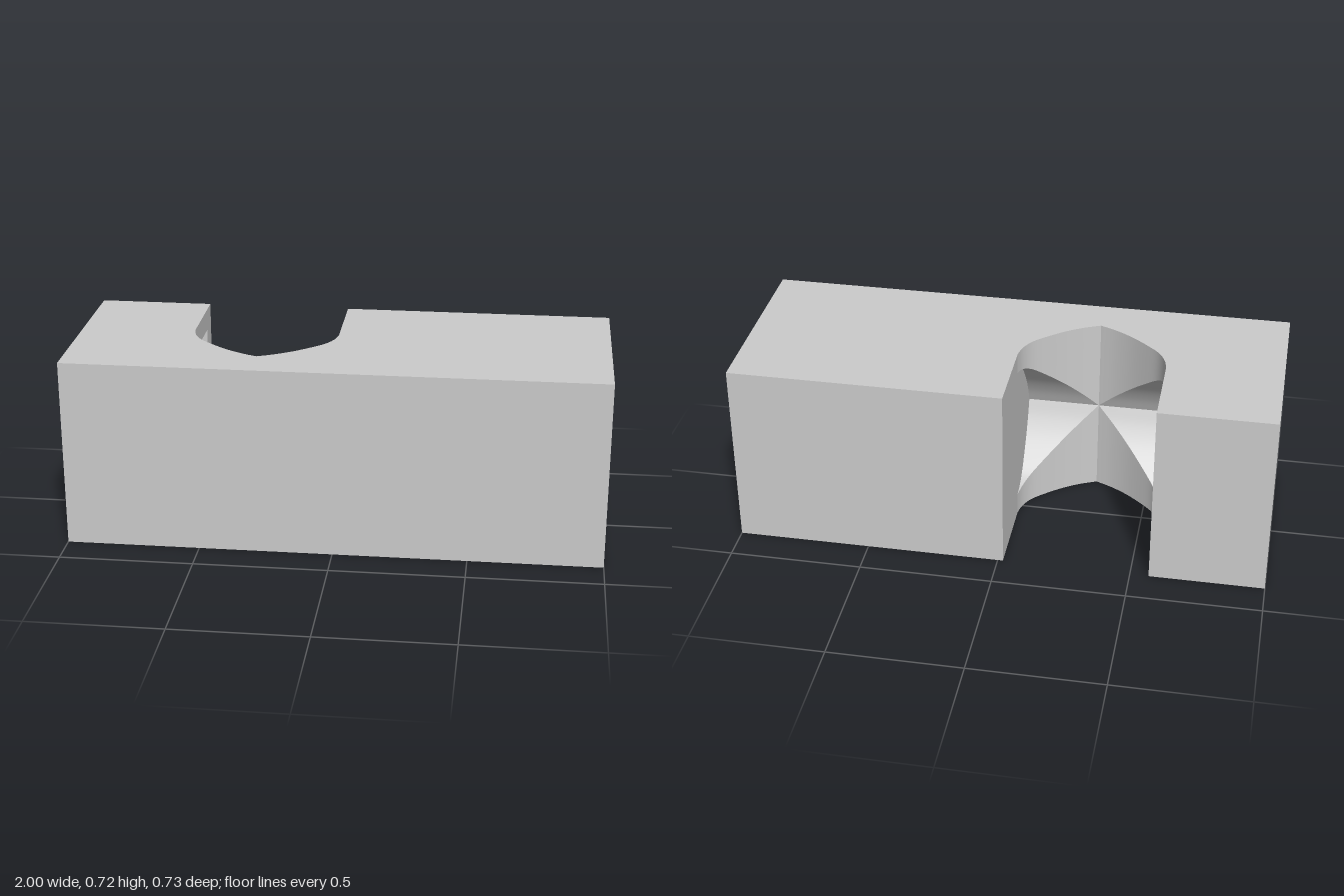
import * as THREE from 'three';
import { toCreasedNormals } from 'three/addons/utils/BufferGeometryUtils.js';

const H = 0.716, D = 0.367, MID = 0.36;         // block height, half depth, bore axis height
const SLOT_L = -0.57, SLOT_R = -0.02;           // slot side walls
const SLOT_C = (SLOT_L + SLOT_R) / 2;
const BORE_BACK = -0.285;                       // flat back wall of the bores
const END_WALL = -0.88, INNER_WALL = 0.1;       // blind ends of the two bores

// Half of the pointed arch: x = offset from its axis, y = depth towards the front
const arch = new THREE.SplineCurve([
  [0, 0.217], [0.06, 0.19], [0.125, 0.15], [0.19, 0.097], [0.237, 0.05], [0.264, 0], [0.275, -0.05],
].map(([u, z]) => new THREE.Vector2(u, z))).getPoints(30);

// Whole arch from one side to the other
const fullArch = [...arch.slice(1).reverse().map(p => new THREE.Vector2(-p.x, p.y)), ...arch];

export function createModel() {
  const group = new THREE.Group();
  const material = new THREE.MeshStandardMaterial({ color: 0xcccccc });

  const add = (name, geometry) => {
    const mesh = new THREE.Mesh(geometry, material);
    mesh.name = name;
    group.add(mesh);
  };

  // Solid slab between two x positions
  const slab = (name, x0, x1) => {
    const g = new THREE.BoxGeometry(x1 - x0, H, 2 * D);
    g.translate((x0 + x1) / 2, H / 2, 0);
    add(name, g);
  };

  // Slab with the arch-shaped bore running through it along x
  const boredSlab = (name, x0, x1) => {
    const shape = new THREE.Shape();
    shape.moveTo(-D, 0).lineTo(D, 0).lineTo(D, H).lineTo(-D, H).closePath();
    const outline = fullArch.map(p => new THREE.Vector2(-p.y, MID + p.x));
    const half = arch[arch.length - 1].x;
    outline.push(new THREE.Vector2(-BORE_BACK, MID + half), new THREE.Vector2(-BORE_BACK, MID - half));
    shape.holes.push(new THREE.Path(outline));
    const g = new THREE.ExtrudeGeometry(shape, { depth: x1 - x0, bevelEnabled: false });
    g.rotateY(Math.PI / 2);
    g.translate(x0, 0, 0);
    add(name, toCreasedNormals(g, 0.35));
  };

  slab('rightEndWall', -1, END_WALL);
  boredSlab('rightBoredBlock', END_WALL, SLOT_L);
  slab('dividingWall', SLOT_R, INNER_WALL);
  boredSlab('leftBoredBlock', INNER_WALL, 1);
  add('slottedBridge', bridgeGeometry());
  return group;
}

// Front bridge behind which the upright slot and the lengthwise bore cross.
// A closed band of rows: underside, recess, top, front.
function bridgeGeometry() {
  const n = arch.length - 1;
  const cols = fullArch.map((p, i) => ({ u: p.x, k: Math.abs(i - n) }));
  const rows = [
    { y: 0, front: true },
    { y: 0, k: n },
    ...fullArch.map((p, j) => ({ y: MID + p.x, k: Math.abs(j - n) })),
    { y: H, k: n },
    { y: H, front: true },
    { y: 0, front: true },
  ];
  // The deeper of the two arches wins at each point of the recess
  const point = (c, r) => [SLOT_C + c.u, r.y, r.front ? D : arch[Math.min(c.k, r.k)].y];

  const pos = [];
  for (let j = 0; j < rows.length - 1; j++) {
    for (let i = 0; i < cols.length - 1; i++) {
      const a = point(cols[i], rows[j]), b = point(cols[i + 1], rows[j]);
      const c = point(cols[i + 1], rows[j + 1]), d = point(cols[i], rows[j + 1]);
      // Triangle diagonals follow the creases where the arches meet
      const same = (i < n) === (rows[j].y < MID - 1e-6);
      const tris = same ? [a, d, c, a, c, b] : [a, d, b, d, c, b];
      tris.forEach(p => pos.push(...p));
    }
  }
  const g = new THREE.BufferGeometry();
  g.setAttribute('position', new THREE.Float32BufferAttribute(pos, 3));
  return toCreasedNormals(g, 0.35);
}
